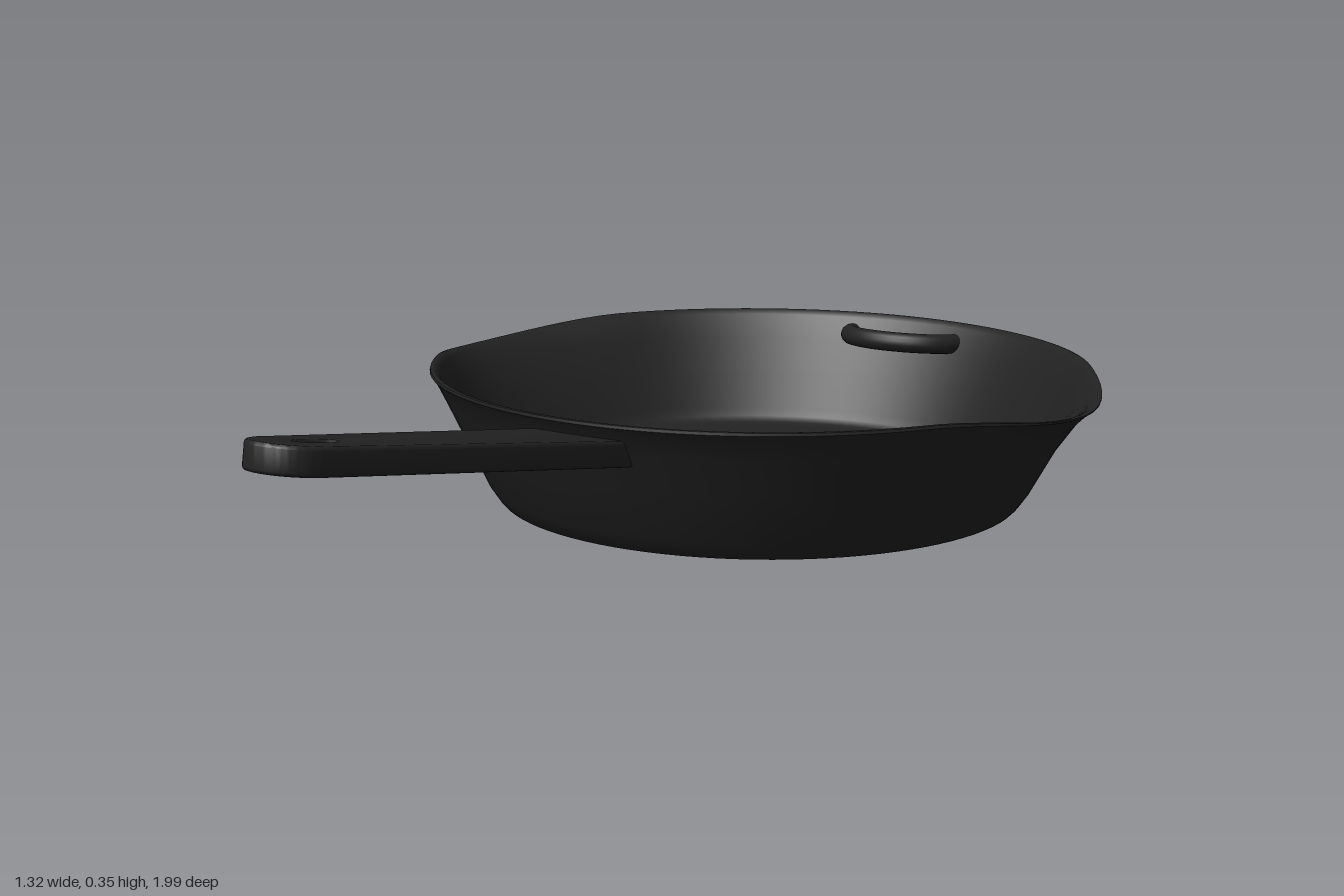
import * as THREE from 'three';
import { toCreasedNormals } from 'three/addons/utils/BufferGeometryUtils.js';

const RIM = 0.25, CENTRE_Z = -0.38;

// Round dish with a pouring spout pulled out of the rim on each side
function dishGeometry() {
  const profile = [
    [0, 0], [0.47, 0], [0.49, 0], [0.497, 0.007], [0.514, 0.032], [0.56, 0.128], [0.592, 0.195],
    [0.612, 0.235], [0.62, 0.244], [0.619, 0.249], [0.615, 0.25], [0.61, 0.249], [0.602, 0.24],
    [0.58, 0.195], [0.548, 0.128], [0.515, 0.055], [0.507, 0.038], [0.495, 0.028], [0.475, 0.025], [0, 0.025],
  ].map(([r, y]) => new THREE.Vector2(r, y));
  const geo = new THREE.LatheGeometry(profile, 96);
  const p = geo.attributes.position;
  for (let i = 0; i < p.count; i++) {
    const x = p.getX(i), y = p.getY(i), z = p.getZ(i);
    const angle = Math.atan2(Math.abs(z), Math.abs(x));
    const bell = angle < 0.56 ? Math.cos(angle / 0.56 * Math.PI / 2) ** 2 : 0;
    const r = Math.hypot(x, z);
    if (!bell || r < 0.5) continue;
    const t = y / RIM;
    const k = 1 + 0.04 * bell * t * t / r;
    p.setXYZ(i, x * k, y - 0.025 * bell * t ** 4, z * k);
  }
  return toCreasedNormals(geo, 0.9);
}

// Tapered flat handle with a rounded tip and a slim hanging hole
function handleGeometry() {
  const length = 0.815, shoulder = 0.755, w0 = 0.096, w1 = 0.066;
  const s = new THREE.Shape();
  s.moveTo(-w0, 0);
  s.lineTo(w0, 0);
  s.lineTo(w1, shoulder);
  s.bezierCurveTo(w1 - 0.006, shoulder + 0.035, 0.035, length, 0, length);
  s.bezierCurveTo(-0.035, length, -w1 + 0.006, shoulder + 0.035, -w1, shoulder);
  s.closePath();
  const hole = new THREE.Path();
  hole.absellipse(0, 0.695, 0.015, 0.042, 0, Math.PI * 2, true);
  s.holes.push(hole);
  const geo = new THREE.ExtrudeGeometry(s, {
    depth: 0.033, curveSegments: 16, bevelEnabled: true,
    bevelThickness: 0.006, bevelSize: 0.006, bevelOffset: -0.006, bevelSegments: 3,
  });
  geo.translate(0, 0, 0.006);
  geo.rotateX(Math.PI / 2);
  return toCreasedNormals(geo, 0.6);
}

export function createModel() {
  const model = new THREE.Group();
  model.name = 'skillet';
  const iron = new THREE.MeshStandardMaterial({ color: 0x222222 });
  iron.name = 'cast iron';

  const add = (name, geo, parent = model) => {
    const mesh = new THREE.Mesh(geo, iron);
    mesh.name = name;
    parent.add(mesh);
    return mesh;
  };

  add('dish', dishGeometry()).position.z = CENTRE_Z;

  // Handle passes through the front wall and slopes up
  const handle = add('handle', handleGeometry());
  handle.position.set(0, 0.215, 0.185);
  handle.rotation.x = -0.17;

  // Half loop on the inside of the back wall, its ends just piercing the wall
  const points = [];
  for (let i = 0; i <= 16; i++) {
    const a = Math.PI * i / 16;
    points.push(new THREE.Vector3(0.12 * Math.cos(a), 0.207 + 0.008 * Math.sin(a), -0.975 + 0.095 * Math.sin(a)));
  }
  const loop = new THREE.Group();
  loop.name = 'rearLoop';
  model.add(loop);
  add('loopBar', new THREE.TubeGeometry(new THREE.CatmullRomCurve3(points), 40, 0.02, 14), loop);
  for (const end of [points[0], points[16]]) {
    const cap = add('loopEnd', new THREE.SphereGeometry(0.02, 14, 10), loop);
    cap.position.copy(end);
    cap.scale.z = 0.4;
  }
  return model;
}
